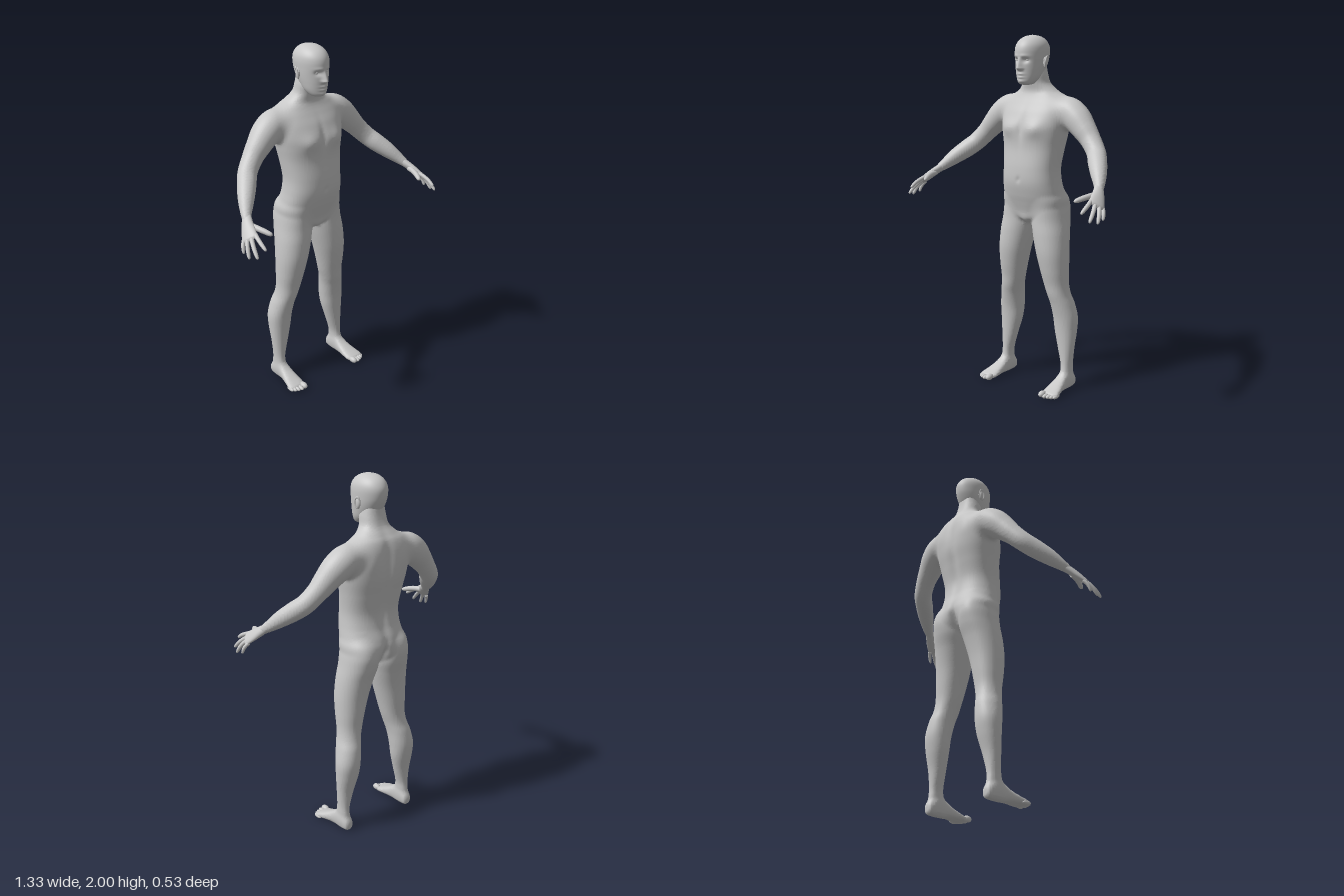
import * as THREE from 'three';

const skin = new THREE.MeshStandardMaterial({ color: 0xc8c8c8 });
skin.name = 'plain grey skin';

// Smooth interpolation between rows of numbers
function sample(rows, t) {
  const f = t * (rows.length - 1), i = Math.min(Math.floor(f), rows.length - 2), u = f - i;
  const at = k => rows[Math.max(0, Math.min(rows.length - 1, k))];
  return rows[i].map((b, k) => {
    const a = at(i - 1)[k], c = at(i + 1)[k], d = at(i + 2)[k];
    return b + 0.5 * u * (c - a + u * (2 * a - 5 * b + 4 * c - d + u * (3 * (b - c) + d - a)));
  });
}
const dense = (rows, n) => Array.from({ length: n + 1 }, (_, i) => sample(rows, i / n));

function buildGeometry(pos, index) {
  const g = new THREE.BufferGeometry();
  g.setAttribute('position', new THREE.Float32BufferAttribute(pos, 3));
  g.setIndex(index);
  g.computeVertexNormals();
  return g;
}

// Closed skin over rings; ring(t, angle) returns a point
function skinOver(ring, steps, sides) {
  const pos = [], index = [];
  for (let i = 0; i <= steps; i++) {
    for (let j = 0; j < sides; j++) pos.push(...ring(i / steps, j / sides * Math.PI * 2));
  }
  for (let i = 0; i < steps; i++) {
    for (let j = 0; j < sides; j++) {
      const a = i * sides + j, b = i * sides + (j + 1) % sides;
      index.push(a, b, a + sides, b, b + sides, a + sides);
    }
  }
  for (let j = 1; j < sides - 1; j++) {
    const e = steps * sides;
    index.push(0, j + 1, j, e, e + j, e + j + 1);
  }
  return buildGeometry(pos, index);
}

// Limb along a path: rows of [x, y, z, halfWidth, halfThickness]
const backOfHand = new THREE.Vector3(0.72, 0.68, 0.09);
function limb(rows, steps, sides) {
  const point = t => new THREE.Vector3(...sample(rows, t).slice(0, 3));
  return skinOver((t, q) => {
    const r = sample(rows, t);
    const T = point(Math.min(1, t + 0.02)).sub(point(Math.max(0, t - 0.02))).normalize();
    const S = backOfHand.clone().cross(T).normalize(), U = T.clone().cross(S);
    return point(t).addScaledVector(S, r[3] * Math.cos(q)).addScaledVector(U, r[4] * Math.sin(q)).toArray();
  }, steps, sides);
}

// Finger from knuckle to tip, slightly bent, with a rounded end
function finger(a, b, r) {
  const rows = [[0, 1.05], [0.3, 1], [0.6, 0.95], [0.85, 0.82], [0.96, 0.55], [1, 0.08]].map(([u, k]) => {
    const p = a.map((v, i) => v + (b[i] - v) * u + backOfHand.getComponent(i) * 0.008 * Math.sin(u * Math.PI));
    return [...p, r * k, r * k];
  });
  return limb(rows, 16, 12);
}

function ellipsoid(x, y, z, rx, ry, rz) {
  return new THREE.SphereGeometry(1, 24, 16).scale(rx, ry, rz).translate(x, y, z);
}

function mirrored(geometry) {
  const g = geometry.clone().scale(-1, 1, 1), ix = g.index.array;
  for (let i = 0; i < ix.length; i += 3) [ix[i], ix[i + 1]] = [ix[i + 1], ix[i]];
  g.computeVertexNormals();
  return g;
}

const hill = (v, mid, width) => Math.exp(-(((v - mid) / width) ** 2));
const both = rows => rows.map(([y, w, b, f]) => [y, -w, w, b, f]);

// Distance to stacked sections: rows of [y, xMin, xMax, zBack, zFront]
function stackField(rows, power, push = () => 0) {
  const list = dense(rows, 160), last = list.length - 1;
  return (x, y, z) => {
    let lo = 0, hi = last;
    while (hi - lo > 1) {
      const mid = (lo + hi) >> 1;
      if (list[mid][0] > y) hi = mid; else lo = mid;
    }
    const A = list[lo], B = list[hi], u = THREE.MathUtils.clamp((y - A[0]) / (B[0] - A[0]), 0, 1);
    const [x0, x1, z0, z1] = [1, 2, 3, 4].map(k => A[k] + (B[k] - A[k]) * u);
    const dx = x - (x0 + x1) / 2, hz = (z1 - z0) / 2, flat = z - (z0 + z1) / 2;
    const dz = flat - push(x, y, THREE.MathUtils.clamp(flat / hz, -1, 1));
    const m = Math.hypot(1e-4, (Math.abs(dx * 2 / (x1 - x0)) ** power + Math.abs(dz / hz) ** power) ** (1 / power));
    return Math.max(Math.hypot(dx, dz) * (1 - 1 / m), list[0][0] - y, y - list[last][0]);
  };
}

// Distance to a round limb: rows of [x, y, z, radius]
function limbField(rows) {
  const list = dense(rows, 70);
  return (x, y, z) => list.reduce((d, r) => Math.min(d, Math.hypot(x - r[0], y - r[1], z - r[2]) - r[3]), 9);
}

const blend = (a, b, k) => Math.min(a, b) - Math.max(k - Math.abs(a - b), 0) ** 2 / (4 * k);

// Smooth closed skin where the field is zero, on a grid of cubes
function skinOfField(field, min, count, h) {
  const [nx, ny, nz] = count, stride = [1, nx, nx * ny], val = new Float32Array(nx * ny * nz);
  const pos = [], index = [], id = new Map();
  const cells = fn => {
    for (let k = 1; k < nz - 1; k++) for (let j = 1; j < ny - 1; j++) for (let i = 1; i < nx - 1; i++) fn(i + nx * (j + ny * k), i, j, k);
  };
  val.fill(1);
  cells((n, i, j, k) => { val[n] = field(min[0] + i * h, min[1] + j * h, min[2] + k * h); });
  const vertex = n => {
    if (id.has(n)) return id.get(n);
    const mid = [n % nx, Math.floor(n / nx) % ny, Math.floor(n / stride[2])].map((v, a) => min[a] + (v + 0.5) * h);
    let p = mid;
    for (let step = 0; step < 4; step++) {
      const f = field(...p), e = 0.002;
      const g = p.map((_, a) => field(...p.map((v, b) => v + (a === b ? e : 0))) - field(...p.map((v, b) => v - (a === b ? e : 0))));
      const len2 = g.reduce((s, v) => s + v * v, 1e-7);
      p = p.map((v, a) => THREE.MathUtils.clamp(v - f * 2 * e * g[a] / len2, mid[a] - 0.7 * h, mid[a] + 0.7 * h));
    }
    id.set(n, pos.length / 3);
    pos.push(...p);
    return id.get(n);
  };
  cells(n => {
    for (let d = 0; d < 3; d++) {
      const inside = val[n] < 0;
      if (inside === val[n + stride[d]] < 0) continue;
      const u = stride[(d + 1) % 3], v = stride[(d + 2) % 3];
      const q = [n - u - v, n - v, n, n - u].map(vertex);
      if (!inside) q.reverse();
      index.push(q[0], q[1], q[2], q[0], q[2], q[3]);
    }
  });
  return buildGeometry(pos, index);
}

// Chest, navel, spine and seat relief
function torsoRelief(x, y, s) {
  const ax = Math.abs(x);
  if (s < 0) {
    return -s * (0.02 * hill(x, 0, 0.03) * hill(y, 1.42, 0.24) + 0.04 * hill(x, 0, 0.02) * hill(y, 1.03, 0.06)
      - 0.008 * hill(ax, 0.11, 0.05) * hill(y, 1.57, 0.07));
  }
  return s * (0.016 * hill(ax, 0.09, 0.06) * hill(y, 1.495, 0.045) - 0.008 * hill(x, 0, 0.02) * hill(y, 1.5, 0.08)
    - 0.006 * hill(x, 0, 0.012) * hill(y, 1.215, 0.014));
}

// Brow, eye sockets, nose, lips and chin
function faceRelief(x, y, s) {
  if (s < 0) return 0;
  const ax = Math.abs(x);
  const slope = y > 1.824 ? Math.max(0, 1 - (y - 1.824) / 0.06) : hill(y, 1.824, 0.011);
  return s * (0.027 * slope * hill(x, 0, 0.009 + 0.007 * slope) + 0.005 * hill(ax, 0.014, 0.008) * hill(y, 1.818, 0.009)
    - 0.015 * hill(ax, 0.032, 0.018) * hill(y, 1.866, 0.014) + 0.004 * hill(ax, 0.03, 0.025) * hill(y, 1.888, 0.009)
    + 0.006 * hill(x, 0, 0.022) * (hill(y, 1.792, 0.007) + hill(y, 1.774, 0.007)) + 0.006 * hill(x, 0, 0.022) * hill(y, 1.752, 0.012));
}

export function createModel() {
  const model = new THREE.Group();
  model.name = 'standingMan';
  const add = (name, g) => {
    const m = new THREE.Mesh(g, skin);
    m.name = name;
    model.add(m);
  };
  const pair = (name, g) => {
    add('left' + name, g);
    add('right' + name, mirrored(g));
  };

  // Body: neck, trunk, arms, legs and feet blended into one skin
  const torso = stackField(both([
    [0.965, 0.02, -0.15, -0.045], [0.99, 0.07, -0.2, -0.026], [1.03, 0.14, -0.24, -0.018], [1.08, 0.182, -0.257, -0.002],
    [1.13, 0.184, -0.25, 0.014], [1.2, 0.175, -0.23, 0.029], [1.28, 0.171, -0.225, 0.028], [1.38, 0.182, -0.245, 0.016],
    [1.46, 0.196, -0.263, 0.015], [1.52, 0.205, -0.268, 0.008], [1.58, 0.208, -0.266, -0.015], [1.63, 0.2, -0.26, -0.045],
    [1.67, 0.165, -0.248, -0.068], [1.7, 0.118, -0.228, -0.077], [1.74, 0.08, -0.202, -0.07], [1.79, 0.07, -0.187, -0.06],
    [1.84, 0.06, -0.18, -0.07]]), 2.3, torsoRelief);
  const leg = stackField([
    [1.16, 0.07, 0.14, -0.19, -0.06], [1.11, 0.035, 0.184, -0.245, -0.03], [1.05, 0.012, 0.198, -0.264, -0.023],
    [0.98, 0.004, 0.208, -0.254, -0.022],
    [0.9, 0.018, 0.22, -0.23, -0.018], [0.8, 0.043, 0.228, -0.21, -0.02], [0.7, 0.068, 0.229, -0.2, -0.035],
    [0.62, 0.087, 0.228, -0.195, -0.052], [0.56, 0.104, 0.235, -0.202, -0.062], [0.5, 0.117, 0.252, -0.219, -0.077],
    [0.42, 0.126, 0.268, -0.228, -0.093], [0.34, 0.136, 0.267, -0.218, -0.101], [0.24, 0.162, 0.259, -0.196, -0.106],
    [0.15, 0.187, 0.252, -0.187, -0.107], [0.1, 0.191, 0.252, -0.19, -0.1], [0.05, 0.195, 0.248, -0.195, -0.095],
    [0.03, 0.2, 0.24, -0.185, -0.105]].reverse(), 2.1);
  const foot = stackField([
    [-0.205, 0.21, 0.232, -0.05, -0.02], [-0.195, 0.194, 0.248, -0.07, -0.005], [-0.155, 0.188, 0.255, -0.095, 0],
    [-0.105, 0.187, 0.256, -0.098, 0], [-0.06, 0.183, 0.264, -0.071, -0.003], [-0.01, 0.179, 0.277, -0.047, -0.001],
    [0.025, 0.179, 0.284, -0.033, 0], [0.045, 0.186, 0.277, -0.025, -0.003]], 2.4);
  const arm = limbField([
    [0.13, 1.605, -0.165, 0.055], [0.2, 1.593, -0.163, 0.077], [0.26, 1.556, -0.158, 0.078],
    [0.32, 1.5, -0.148, 0.066], [0.37, 1.447, -0.138, 0.056], [0.425, 1.387, -0.112, 0.052],
    [0.465, 1.345, -0.068, 0.051], [0.51, 1.3, -0.015, 0.044], [0.55, 1.255, 0.035, 0.031], [0.575, 1.224, 0.073, 0.021]]);
  const body = (x, y, z) => {
    const ax = Math.abs(x);
    let d = ax > 0.36 ? 1 : torso(ax, y, z);
    if (y < 1.25) d = blend(d, leg(ax, y, z), 0.03);
    if (y < 0.2) d = blend(d, foot(ax, z, -y), 0.02);
    return y > 1.1 ? blend(d, arm(ax, y, z), 0.04) : d;
  };
  add('body', skinOfField(body, [-0.66, -0.025, -0.3], [133, 190, 44], 0.01));

  // Head
  const headRows = both([
    [1.731, 0.012, -0.06, -0.025], [1.737, 0.036, -0.085, -0.008], [1.75, 0.05, -0.108, 0.002], [1.775, 0.064, -0.142, 0.006],
    [1.81, 0.073, -0.172, 0.01], [1.845, 0.079, -0.193, 0.012], [1.88, 0.082, -0.207, 0.016], [1.92, 0.083, -0.212, 0.016],
    [1.95, 0.077, -0.203, 0.006], [1.975, 0.061, -0.182, -0.017], [1.992, 0.037, -0.148, -0.052], [2, 0.003, -0.1, -0.094]]);
  add('head', skinOver((t, q) => {
    const [y, , w, z0, z1] = sample(headRows, t);
    const x = w * Math.cos(q), s = -Math.sin(q);
    return [x, y, (z0 + z1) / 2 + (z1 - z0) / 2 * s + faceRelief(x, y, s)];
  }, 110, 120));
  pair('Eye', ellipsoid(0.032, 1.866, -0.017, 0.013, 0.009, 0.012));
  const rim = new THREE.TorusGeometry(0.018, 0.004, 10, 28).scale(0.85, 1.6, 1).rotateY(Math.PI / 2 + 0.35);
  pair('EarRim', rim.rotateX(-0.15).rotateZ(-0.12).translate(0.087, 1.857, -0.108));
  pair('EarInner', ellipsoid(0.083, 1.855, -0.106, 0.009, 0.029, 0.016));

  // Hands
  pair('Palm', limb([
    [0.552, 1.253, 0.038, 0.02, 0.016], [0.57, 1.23, 0.067, 0.027, 0.021], [0.584, 1.213, 0.089, 0.032, 0.021],
    [0.599, 1.194, 0.115, 0.039, 0.019], [0.614, 1.174, 0.143, 0.043, 0.015], [0.621, 1.165, 0.157, 0.039, 0.012],
    [0.625, 1.16, 0.165, 0.025, 0.004]], 28, 28));
  const fingers = {
    IndexFinger: [[0.592, 1.188, 0.16], [0.604, 1.135, 0.267], 0.0115],
    MiddleFinger: [[0.61, 1.175, 0.153], [0.642, 1.093, 0.247], 0.0115],
    RingFinger: [[0.625, 1.162, 0.141], [0.659, 1.081, 0.2], 0.011],
    LittleFinger: [[0.632, 1.152, 0.12], [0.656, 1.091, 0.15], 0.01],
    Thumb: [[0.574, 1.206, 0.1], [0.53, 1.183, 0.225], 0.0155],
  };
  for (const name in fingers) pair(name, finger(...fingers[name]));

  // Toes
  const toes = [[0.199, 0.054, 0.018], [0.224, 0.053, 0.0125], [0.244, 0.046, 0.012], [0.261, 0.037, 0.0115], [0.275, 0.025, 0.011]];
  toes.forEach(([x, z, r], i) => pair('Toe' + (i + 1), ellipsoid(x, r, z, r, r, 0.028)));

  return model;
}
